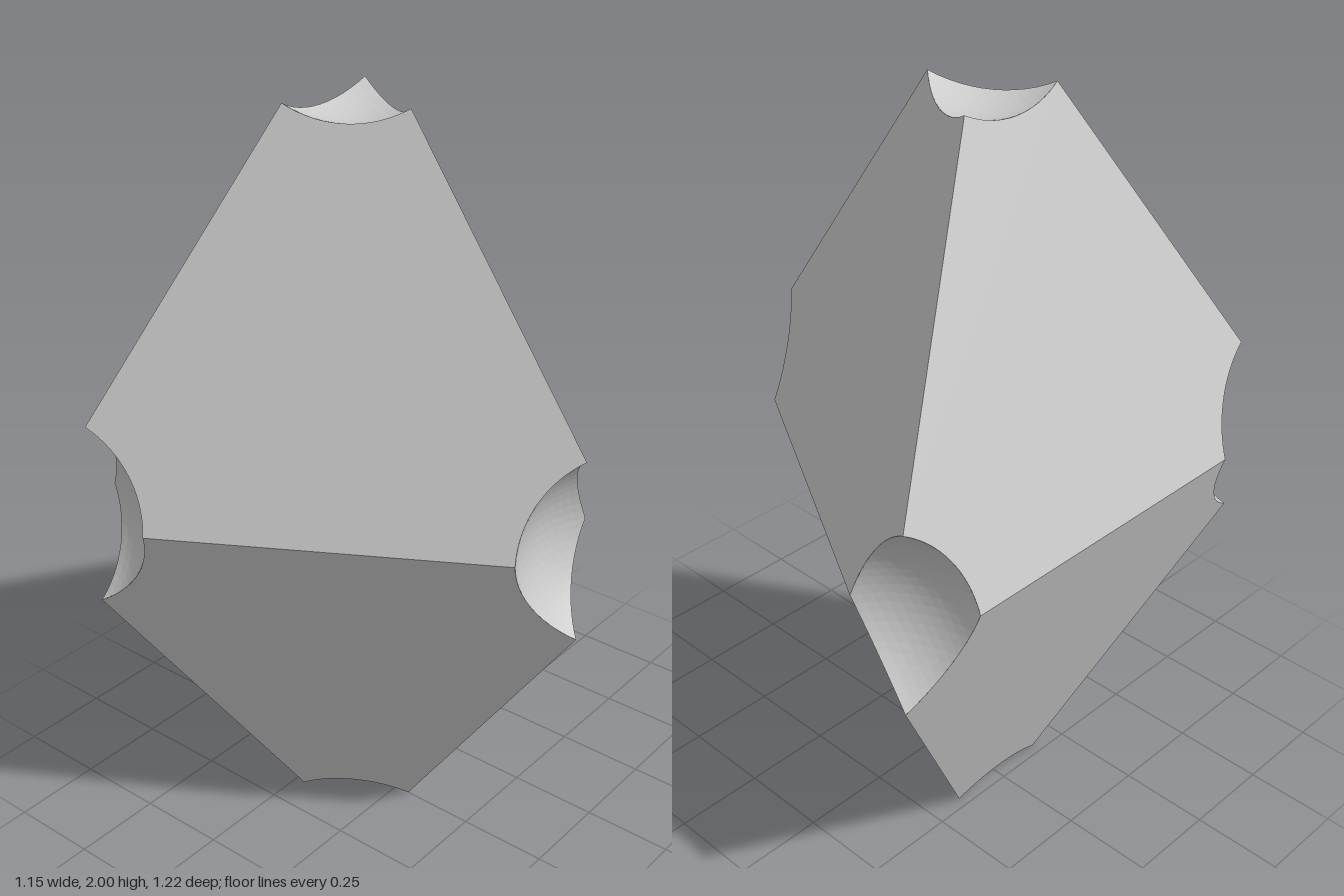
import * as THREE from 'three';
import { mergeGeometries } from 'three/addons/utils/BufferGeometryUtils.js';

const HEIGHT = 1.25;                        // apex above the equator, before the bites
const EDGE = HEIGHT / Math.sqrt(2 / 3);     // all edges of the bipyramid are equal
const RADIUS = EDGE / Math.sqrt(3);         // equator corner to axis
const BITE = 0.2 * EDGE;                    // radius of the spherical bite at each corner
const STEPS = 12;
const AXIS_X = -0.15 * RADIUS;              // centres the bitten solid on x = 0

const equator = [0, 1, 2].map((i) => {
  const a = (i * 2 * Math.PI) / 3;
  return new THREE.Vector3(AXIS_X + RADIUS * Math.cos(a), 1, -RADIUS * Math.sin(a));
});

// Flat triangle a, b, c with a circular bite at each corner
function faceGeometry(a, b, c) {
  const s = new THREE.Shape();
  s.moveTo(BITE, 0);
  s.absarc(EDGE, 0, BITE, Math.PI, (2 * Math.PI) / 3, true);
  s.absarc(EDGE / 2, (EDGE * Math.sqrt(3)) / 2, BITE, (5 * Math.PI) / 3, (4 * Math.PI) / 3, true);
  s.absarc(0, 0, BITE, Math.PI / 3, 0, true);
  const u = b.clone().sub(a).normalize();
  const n = u.clone().cross(c.clone().sub(a)).normalize();
  const w = n.clone().cross(u);
  const m = new THREE.Matrix4().makeBasis(u, w, n).setPosition(a);
  return new THREE.ShapeGeometry(s, STEPS).applyMatrix4(m);
}

// Point at fraction t of the great arc between two unit vectors
function arc(a, b, t) {
  const angle = a.angleTo(b);
  if (angle < 1e-6) return a.clone();
  return a.clone().multiplyScalar(Math.sin((1 - t) * angle) / Math.sin(angle))
    .addScaledVector(b, Math.sin(t * angle) / Math.sin(angle));
}

// Hollow spherical triangle around corner v, spanned by the edges to three other corners
function biteGeometry(v, others) {
  let [p, q, r] = others.map((o) => o.clone().sub(v).normalize());
  const facing = q.clone().sub(p).cross(r.clone().sub(p)).dot(p);
  if (facing > 0) [q, r] = [r, q];          // the hollow side faces the corner
  const at = (i, j) =>
    arc(arc(p, q, i / STEPS), arc(p, r, i / STEPS), i ? j / i : 0).multiplyScalar(BITE).add(v);
  const points = [];
  for (let i = 0; i < STEPS; i++) {
    for (let j = 0; j <= i; j++) {
      points.push(at(i, j), at(i + 1, j), at(i + 1, j + 1));
      if (j < i) points.push(at(i, j), at(i + 1, j + 1), at(i, j + 1));
    }
  }
  const g = new THREE.BufferGeometry().setFromPoints(points);
  g.computeVertexNormals();
  return g;
}

export function createModel() {
  const group = new THREE.Group();
  const material = new THREE.MeshStandardMaterial({ color: 0xcccccc, flatShading: true });
  const add = (name, geometry) => {
    const mesh = new THREE.Mesh(geometry, material);
    mesh.name = name;
    group.add(mesh);
  };
  const tips = { upper: 1, lower: -1 };
  const apex = (side) => new THREE.Vector3(AXIS_X, 1 + side * HEIGHT, 0);

  for (const [name, side] of Object.entries(tips)) {
    // Three sloping faces and the bite at the tip
    const faces = equator.map((e, i) => {
      const next = equator[(i + 1) % 3];
      return side > 0 ? faceGeometry(e, next, apex(side)) : faceGeometry(next, e, apex(side));
    });
    add(name + 'Faces', mergeGeometries(faces));
    add(name + 'TipBite', biteGeometry(apex(side), equator));
  }

  // Bites at the three equator corners, each an upper and a lower half
  equator.forEach((e, i) => {
    const rest = equator.filter((o) => o !== e);
    const halves = Object.values(tips).map((side) => biteGeometry(e, [...rest, apex(side)]));
    add('cornerBite' + (i + 1), mergeGeometries(halves));
  });
  return group;
}
